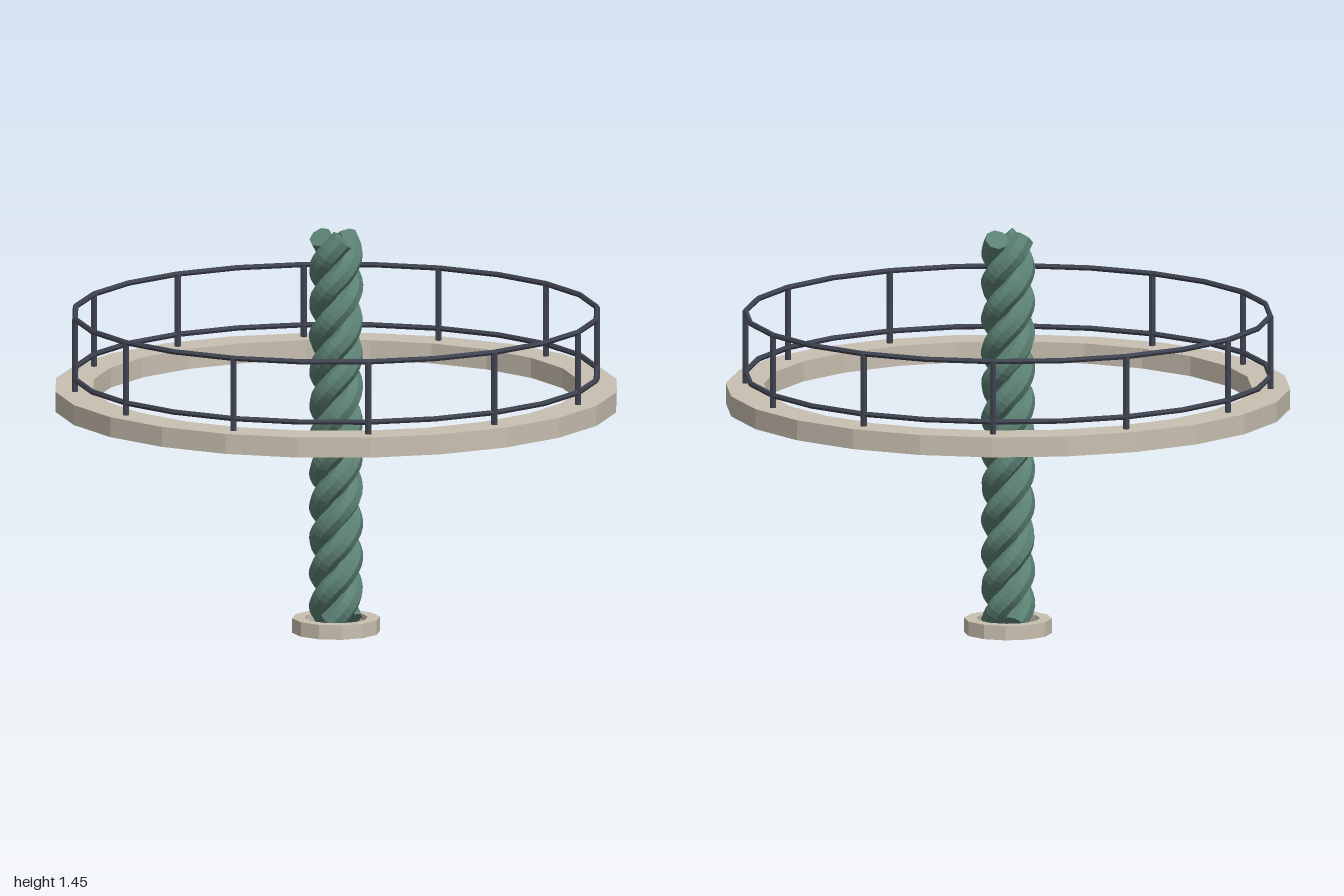
import * as THREE from 'three';

const flat = (name, color) => {
  const m = new THREE.MeshStandardMaterial({ color, flatShading: true });
  m.name = name;
  return m;
};

// Square-section ring standing between two heights
function ring(name, inner, outer, y0, y1, sides, material) {
  const profile = [[inner, y0], [outer, y0], [outer, y1], [inner, y1], [inner, y0]]
    .map(([r, y]) => new THREE.Vector2(r, y));
  const mesh = new THREE.Mesh(new THREE.LatheGeometry(profile, sides), material);
  mesh.name = name;
  return mesh;
}

// Flat end of a tube, fanned from the tube's own end ring
function tubeCap(tube, centre, first, sides, atEnd) {
  const p = tube.attributes.position;
  const pos = [centre.x, centre.y, centre.z];
  const index = [];
  for (let j = 0; j <= sides; j++) {
    pos.push(p.getX(first + j), p.getY(first + j), p.getZ(first + j));
    if (j < sides) index.push(0, ...(atEnd ? [j + 2, j + 1] : [j + 1, j + 2]));
  }
  const g = new THREE.BufferGeometry();
  g.setAttribute('position', new THREE.Float32BufferAttribute(pos, 3));
  g.setIndex(index);
  g.computeVertexNormals();
  return g;
}

// One strand of the twisted column
function strand(phase, material) {
  const steps = 24, turns = 3.8, radius = 0.055, y0 = 0.04, y1 = 1.42;
  const points = [];
  for (let i = 0; i <= steps; i++) {
    const t = i / steps, a = phase - t * turns * Math.PI * 2;
    points.push(new THREE.Vector3(radius * Math.cos(a), y0 + (y1 - y0) * t, radius * Math.sin(a)));
  }
  const segments = 96, sides = 8;
  const tube = new THREE.TubeGeometry(new THREE.CatmullRomCurve3(points), segments, 0.042, sides, false);
  const group = new THREE.Group();
  group.name = 'strand';
  const parts = {
    strandBody: tube,
    strandBottom: tubeCap(tube, points[0], 0, sides, false),
    strandTop: tubeCap(tube, points[steps], segments * (sides + 1), sides, true),
  };
  for (const [name, geometry] of Object.entries(parts)) {
    const mesh = new THREE.Mesh(geometry, material);
    mesh.name = name;
    group.add(mesh);
  }
  return group;
}

export function createModel() {
  const stone = flat('stone', 0xc8bfb0);
  const green = flat('column green', 0x5c8174);
  const iron = flat('dark iron', 0x3f4350);
  const model = new THREE.Group();
  model.name = 'ringPlatform';

  // Base collar and raised ring deck
  model.add(ring('baseCollar', 0.113, 0.156, 0, 0.052, 12, stone));
  model.add(ring('ringDeck', 0.865, 1, 0.815, 0.887, 24, stone));

  // Twisted column of three strands
  const column = new THREE.Group();
  column.name = 'twistedColumn';
  for (let i = 0; i < 3; i++) column.add(strand(i * Math.PI * 2 / 3, green));
  model.add(column);

  // Railing: two rails on twelve posts
  const railing = new THREE.Group();
  railing.name = 'railing';
  const railRadius = 0.93;
  for (const [name, y] of [['topRail', 1.147], ['lowerRail', 0.93]]) {
    const rail = new THREE.Mesh(new THREE.TorusGeometry(railRadius, 0.01, 6, 24), iron);
    rail.rotation.x = Math.PI / 2;
    rail.position.y = y;
    rail.name = name;
    railing.add(rail);
  }
  const postGeometry = new THREE.CylinderGeometry(0.012, 0.012, 0.265, 6);
  for (let i = 0; i < 12; i++) {
    const a = i * Math.PI / 6;
    const post = new THREE.Mesh(postGeometry, iron);
    post.position.set(railRadius * Math.cos(a), 1.0145, railRadius * Math.sin(a));
    post.name = 'post';
    railing.add(post);
  }
  model.add(railing);
  return model;
}
